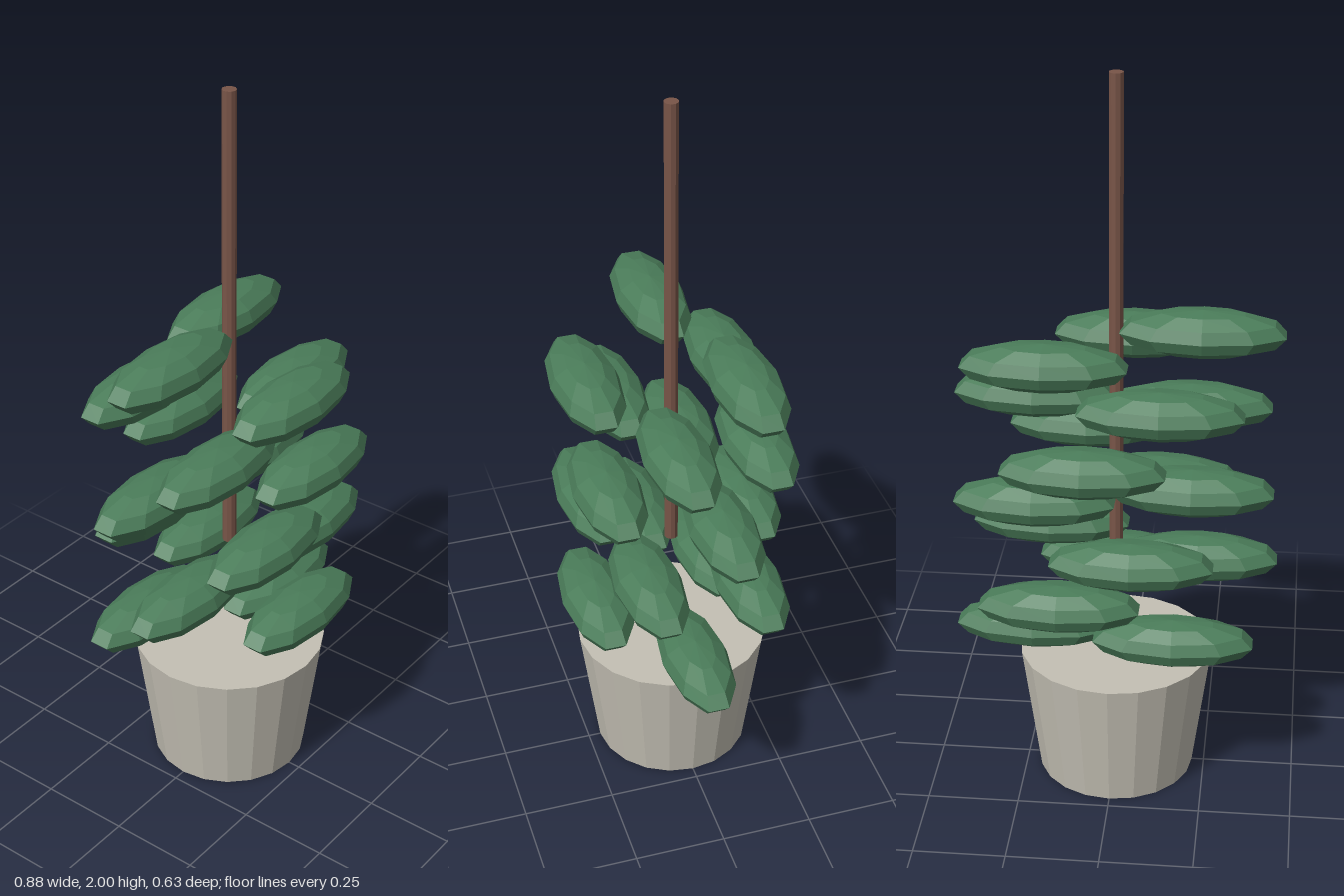
import * as THREE from 'three';

export function createModel() {
  const model = new THREE.Group();
  model.name = 'pottedPlant';

  const material = (name, color) => {
    const m = new THREE.MeshStandardMaterial({ color, flatShading: true });
    m.name = name;
    return m;
  };
  const clay = material('paleClay', 0xc4c0b4);
  const bark = material('brownBark', 0x795548);
  const green = material('leafGreen', 0x4a7c59);

  const add = (name, geometry, mat, x, y, z, parent = model) => {
    const mesh = new THREE.Mesh(geometry, mat);
    mesh.name = name;
    mesh.position.set(x, y, z);
    parent.add(mesh);
    return mesh;
  };

  // Tapered, closed pot
  const potHeight = 0.375;
  add('pot', new THREE.CylinderGeometry(0.267, 0.216, potHeight, 20), clay, 0, potHeight / 2, 0);

  // Bare stem, floating above the pot among the leaves
  const stemBottom = 0.69;
  const stemHeight = 2 - stemBottom;
  add('stem', new THREE.CylinderGeometry(0.019, 0.019, stemHeight, 10), bark, 0, stemBottom + stemHeight / 2, 0);

  // Flattened faceted leaf, long in x, with blunt tips
  const leaf = new THREE.SphereGeometry(1, 10, 6)
    .rotateY(Math.PI / 10)
    .scale(0.226, 0.063, 0.092);

  // Leaves climb in a golden-angle spiral
  const foliage = new THREE.Group();
  foliage.name = 'foliage';
  model.add(foliage);
  const goldenAngle = Math.PI * (3 - Math.sqrt(5));
  const spiralRadius = 0.226;
  for (let i = 0; i < 18; i++) {
    const a = i * goldenAngle;
    add(`leaf${i + 1}`, leaf, green,
      spiralRadius * Math.cos(a), 0.43 + i * 0.0525, -spiralRadius * Math.sin(a), foliage);
  }

  return model;
}
